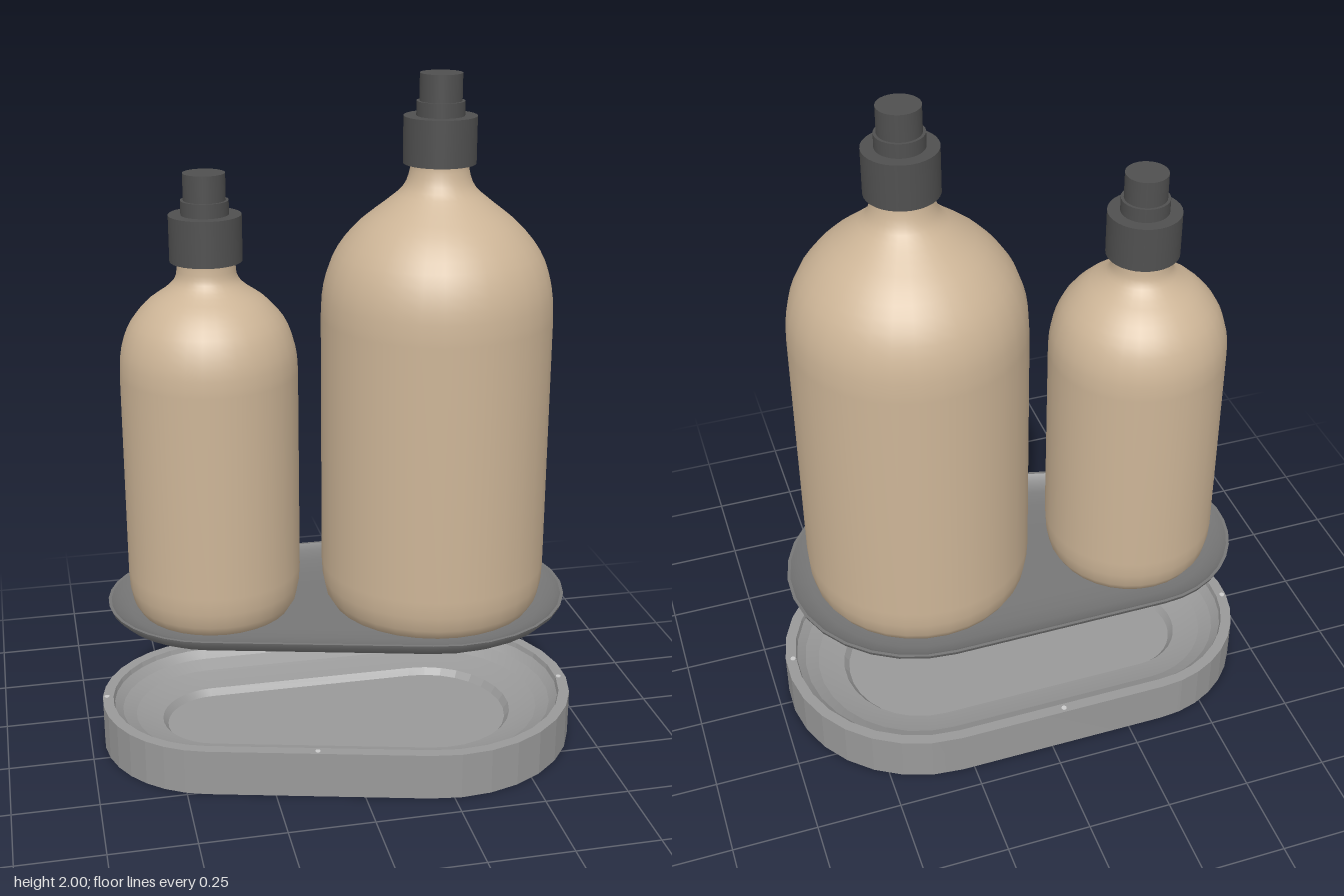
import * as THREE from 'three';
import { toCreasedNormals } from 'three/addons/utils/BufferGeometryUtils.js';

const paint = (color) => new THREE.MeshStandardMaterial({ color });
const stone = paint(0x999999);
const slate = paint(0x777777);
const amber = paint(0xcdb597);
const dark = paint(0x505050);
const white = paint(0xffffff);

// The two bottle positions; the dish outline is the hull of a circle around each
const SMALL = { x: -0.36, z: -0.08, r: 0.35 };
const LARGE = { x: 0.285, z: 0, r: 0.43 };
const BACK = -Math.PI / 2;
const FRONT = 1.8176; // angle of the slanted front tangent

// Outline inset by d, as [x, z] pairs
function outline(d, n = 16) {
  const points = [];
  const arc = (c, from, to) => {
    for (let i = 0; i <= n; i++) {
      const a = from + ((to - from) * i) / n;
      points.push([c.x + (c.r - d) * Math.cos(a), c.z + (c.r - d) * Math.sin(a)]);
    }
  };
  arc(LARGE, BACK, FRONT);
  arc(SMALL, FRONT, BACK + 2 * Math.PI);
  return points;
}

// Solid swept round the outline: profile of [inset, y], closed by flat caps
function dish(name, profile, material, crease) {
  const positions = [];
  const rings = profile.map(([d, y]) => outline(d).map(([x, z]) => [x, y, z]));
  const tri = (a, b, c) => positions.push(...a, ...b, ...c);
  const count = rings[0].length;
  const last = rings.length - 1;
  const bottom = [0, profile[0][1], 0];
  const top = [0, profile[last][1], 0];
  for (let j = 0; j < count; j++) {
    const k = (j + 1) % count;
    tri(bottom, rings[0][j], rings[0][k]);
    tri(top, rings[last][k], rings[last][j]);
    for (let i = 0; i < last; i++) {
      const [p, q] = [rings[i], rings[i + 1]];
      tri(p[j], q[j], q[k]);
      tri(p[j], q[k], p[k]);
    }
  }
  const geometry = new THREE.BufferGeometry();
  geometry.setAttribute('position', new THREE.Float32BufferAttribute(positions, 3));
  const mesh = new THREE.Mesh(toCreasedNormals(geometry, crease), material);
  mesh.name = name;
  return mesh;
}

function cylinder(name, r, y0, y1, material, sides = 32) {
  const mesh = new THREE.Mesh(new THREE.CylinderGeometry(r, r, y1 - y0, sides), material);
  mesh.position.y = (y0 + y1) / 2;
  mesh.name = name;
  return mesh;
}

// Bottle with rounded foot, domed shoulder, flared neck and stepped cap
function bottle(name, spot, r, shoulder, capY) {
  const group = new THREE.Group();
  group.name = name;
  const foot = [[0, 0.43], [r - 0.06, 0.43], [r - 0.03, 0.445], [r - 0.012, 0.475], [r - 0.003, 0.52], [r, 0.57]];
  const dome = new THREE.SplineCurve(
    shoulder.map(([x, y]) => new THREE.Vector2(x, y))
  ).getPoints(20);
  const profile = [...foot.map(([x, y]) => new THREE.Vector2(x, y)), ...dome];
  const body = new THREE.Mesh(new THREE.LatheGeometry(profile, 32), amber);
  body.name = 'bottleBody';
  group.add(
    body,
    cylinder('capCollar', 0.102, capY, capY + 0.13, dark),
    cylinder('capStep', 0.067, capY + 0.13, capY + 0.17, dark),
    cylinder('capTop', 0.059, capY + 0.17, capY + 0.245, dark)
  );
  group.position.set(spot.x, 0, spot.z);
  return group;
}

export function createModel() {
  const model = new THREE.Group();

  // Base with a bowl and a recessed floor that receives the tray
  model.add(dish('base', [
    [0, 0], [0, 0.14], [0.032, 0.14], [0.036, 0.125], [0.06, 0.103],
    [0.1, 0.082], [0.145, 0.067], [0.18, 0.06], [0.195, 0.04],
  ], stone, 0.15));

  // Small round studs set into the base rim
  [[-0.04, -0.415], [-0.695, -0.12], [0.69, 0.045], [-0.13, 0.325]].forEach(([x, z]) => {
    const stud = cylinder('rimStud', 0.008, 0.12, 0.142, white, 12);
    stud.position.x = x;
    stud.position.z = z;
    model.add(stud);
  });

  // Floating tray with a shallow dished top
  model.add(dish('tray', [
    [0.195, 0.37], [0.18, 0.385], [0.145, 0.397], [0.1, 0.412], [0.06, 0.435],
    [0.038, 0.457], [0.033, 0.47], [0.042, 0.47], [0.06, 0.456], [0.1, 0.441],
    [0.15, 0.432], [0.2, 0.43],
  ], slate, 0.6));

  // Bottles
  model.add(bottle('largeBottle', LARGE, 0.33, [
    [0.33, 1.32], [0.323, 1.41], [0.292, 1.5], [0.23, 1.58],
    [0.15, 1.645], [0.1, 1.69], [0.082, 1.74], [0.082, 1.77],
  ], 1.755));
  model.add(bottle('smallBottle', SMALL, 0.253, [
    [0.253, 1.17], [0.247, 1.24], [0.22, 1.315], [0.17, 1.375],
    [0.115, 1.415], [0.088, 1.445], [0.082, 1.48], [0.082, 1.5],
  ], 1.493));

  return model;
}
